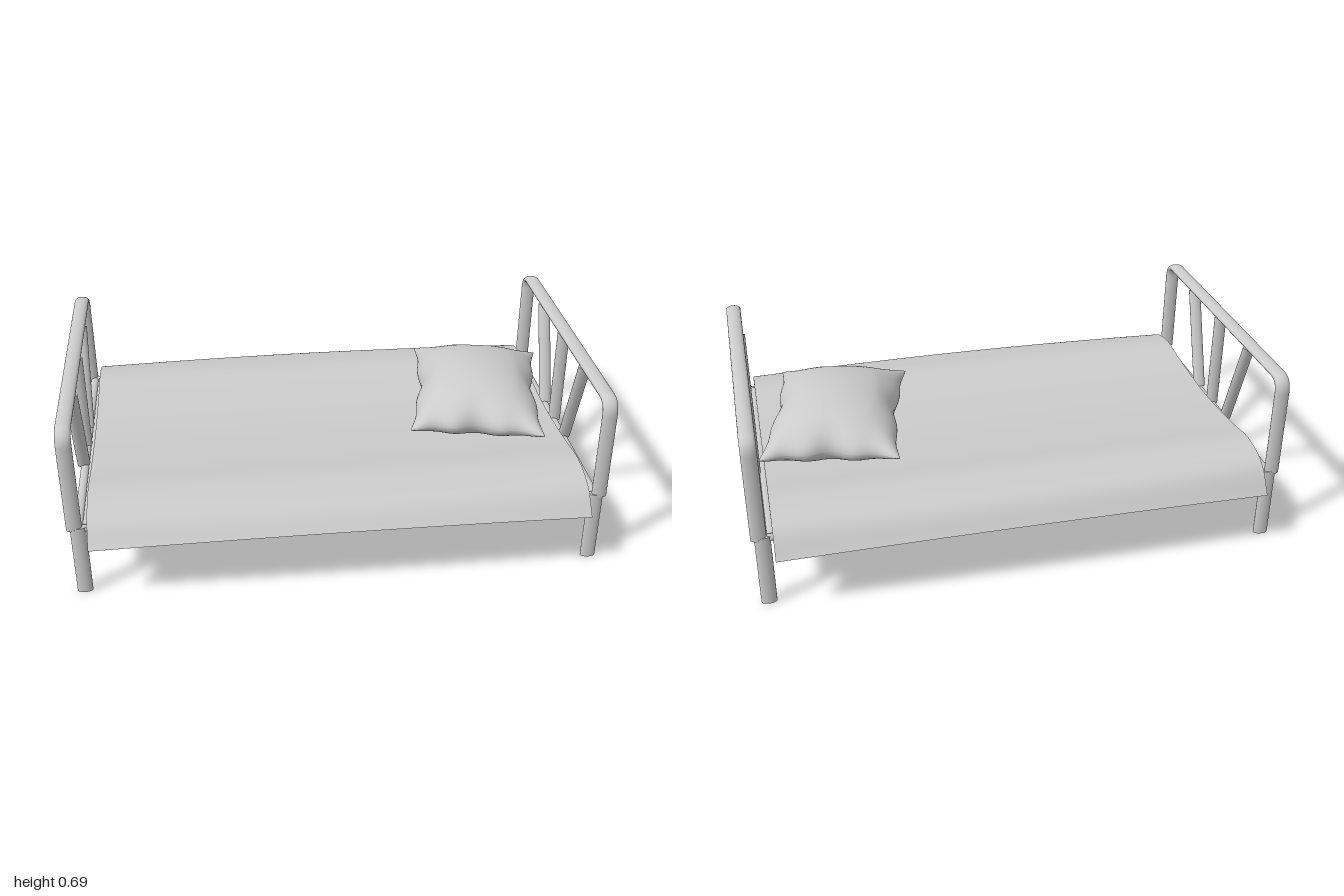
import * as THREE from 'three';
import { RoundedBoxGeometry } from 'three/addons/geometries/RoundedBoxGeometry.js';

const metal = new THREE.MeshStandardMaterial({ color: 0xcccccc });
const cloth = new THREE.MeshStandardMaterial({ color: 0xcccccc, side: THREE.DoubleSide });
const V = (x, y, z) => new THREE.Vector3(x, y, z);

function add(parent, name, geometry, material = metal) {
  const mesh = new THREE.Mesh(geometry, material);
  mesh.name = name;
  parent.add(mesh);
  return mesh;
}

// Straight bar between two points; flat stretches its section along x
function bar(parent, name, a, b, r, flat = 1) {
  const dir = b.clone().sub(a);
  const g = new THREE.CylinderGeometry(r, r, dir.length(), 20);
  g.applyQuaternion(new THREE.Quaternion().setFromUnitVectors(V(0, 1, 0), dir.normalize()));
  g.scale(flat, 1, 1);
  const mid = a.clone().add(b).multiplyScalar(0.5);
  g.translate(mid.x, mid.y, mid.z);
  return add(parent, name, g);
}

// Head or foot end: bent hoop, legs, cross rail and three slats
function bedEnd(name, side) {
  const end = new THREE.Group();
  end.name = name;

  const w = 0.565, top = 0.675, bottom = 0.275, c = 0.055;
  const path = new THREE.CurvePath();
  path.add(new THREE.LineCurve3(V(0, bottom, w), V(0, top - c, w)));
  path.add(new THREE.QuadraticBezierCurve3(V(0, top - c, w), V(0, top, w), V(0, top, w - c)));
  path.add(new THREE.LineCurve3(V(0, top, w - c), V(0, top, c - w)));
  path.add(new THREE.QuadraticBezierCurve3(V(0, top, c - w), V(0, top, -w), V(0, top - c, -w)));
  path.add(new THREE.LineCurve3(V(0, top - c, -w), V(0, bottom, -w)));
  const hoop = new THREE.TubeGeometry(path, 160, 0.015, 20);
  hoop.scale(1.9, 1, 1).translate(side * 0.97, 0, 0);
  add(end, 'hoop', hoop);

  for (const s of [-1, 1]) {
    const z = s * w;
    bar(end, 'leg', V(side * 0.957, 0, z), V(side * 0.957, 0.285, z), 0.0155, 1.85);
    bar(end, 'postCap', V(side * 0.97, 0.274, z), V(side * 0.97, 0.28, z), 0.0152, 1.88);
    bar(end, 'slantedSlat', V(side * 0.96, 0.28, s * 0.14), V(side * 0.96, 0.672, s * 0.282), 0.015, 1.65);
  }
  bar(end, 'middleSlat', V(side * 0.96, 0.275, 0), V(side * 0.96, 0.675, 0), 0.015, 1.65);
  bar(end, 'crossRail', V(side * 0.955, 0.275, -w), V(side * 0.955, 0.275, w), 0.013, 1.3);
  return end;
}

// Thin blanket: a sagging cross-section whose hanging edges flare along the length
function blanketGeometry() {
  const profile = new THREE.CatmullRomCurve3([
    V(0, 0.243, 0.66), V(0, 0.325, 0.58), V(0, 0.36, 0.45), V(0, 0.345, 0.28), V(0, 0.329, 0),
    V(0, 0.345, -0.28), V(0, 0.363, -0.45), V(0, 0.328, -0.58), V(0, 0.232, -0.655),
  ]);
  const g = new THREE.PlaneGeometry(1.84, 1, 24, 80);
  const p = g.attributes.position;
  for (let i = 0; i < p.count; i++) {
    const x = p.getX(i);
    const q = profile.getPoint(0.5 - p.getY(i));
    const hang = THREE.MathUtils.smoothstep(Math.abs(q.z), 0.5, 0.66);
    const flare = hang * (1 - (x / 0.92) ** 2);
    // the plane's top row maps to +z, so x is mirrored to keep the front upward
    p.setXYZ(i, -x, q.y + 0.02 * flare, q.z + Math.sign(q.z) * 0.018 * flare);
  }
  g.computeVertexNormals();
  return g;
}

// One puffed half of the pillow over a pinched four-cornered outline
function pillowHalf(up) {
  const n = 48;
  const corners = [[0.30, 0.28], [0.80, 0.385], [0.94, -0.30], [0.435, -0.40]];
  const g = new THREE.PlaneGeometry(2, 2, n, n);
  const p = g.attributes.position;
  for (let i = 0; i < p.count; i++) {
    // denser rows near the seam keep the puffed edge round
    const u = Math.sin(p.getX(i) * Math.PI / 2);
    const v = Math.sin(p.getY(i) * Math.PI / 2);
    const pu = 1 - u * u, pv = 1 - v * v;
    const su = u * (1 - 0.11 * pv - 0.03 * u ** 4 * pv * Math.cos(8 * v));
    const sv = v * (1 - 0.13 * pu - 0.04 * v ** 4 * pu * Math.cos(9 * u));
    const a = (1 + su) / 2, b = (1 + sv) / 2;
    const mix = k => (1 - b) * ((1 - a) * corners[0][k] + a * corners[1][k])
      + b * ((1 - a) * corners[3][k] + a * corners[2][k]);
    const h = 0.117 * Math.pow(Math.max(0, pu * pv), 0.5);
    const seam = 0.432 + 0.013 * Math.min(1, 2 * pu * pv);
    p.setXYZ(i, mix(0), seam + up * h, mix(1));
  }
  if (up < 0) {
    const idx = g.index.array;
    for (let i = 0; i < idx.length; i += 3) [idx[i], idx[i + 1]] = [idx[i + 1], idx[i]];
  }
  g.computeVertexNormals();
  return g;
}

export function createModel() {
  const bed = new THREE.Group();
  bed.name = 'bed';

  bed.add(bedEnd('headEnd', 1), bedEnd('footEnd', -1));
  for (const s of [-1, 1]) {
    bar(bed, 'sideRail', V(-0.955, 0.275, s * 0.56), V(0.955, 0.275, s * 0.56), 0.013);
  }

  // Thin mattress on its board
  add(bed, 'board', new RoundedBoxGeometry(1.88, 0.026, 1.1, 3, 0.012)).position.y = 0.28;
  add(bed, 'mattress', new RoundedBoxGeometry(1.84, 0.032, 1.1, 3, 0.012)).position.y = 0.31;

  add(bed, 'blanket', blanketGeometry(), cloth);

  const pillow = new THREE.Group();
  pillow.name = 'pillow';
  add(pillow, 'pillowTop', pillowHalf(1), cloth);
  add(pillow, 'pillowBottom', pillowHalf(-1), cloth);
  bed.add(pillow);
  return bed;
}
